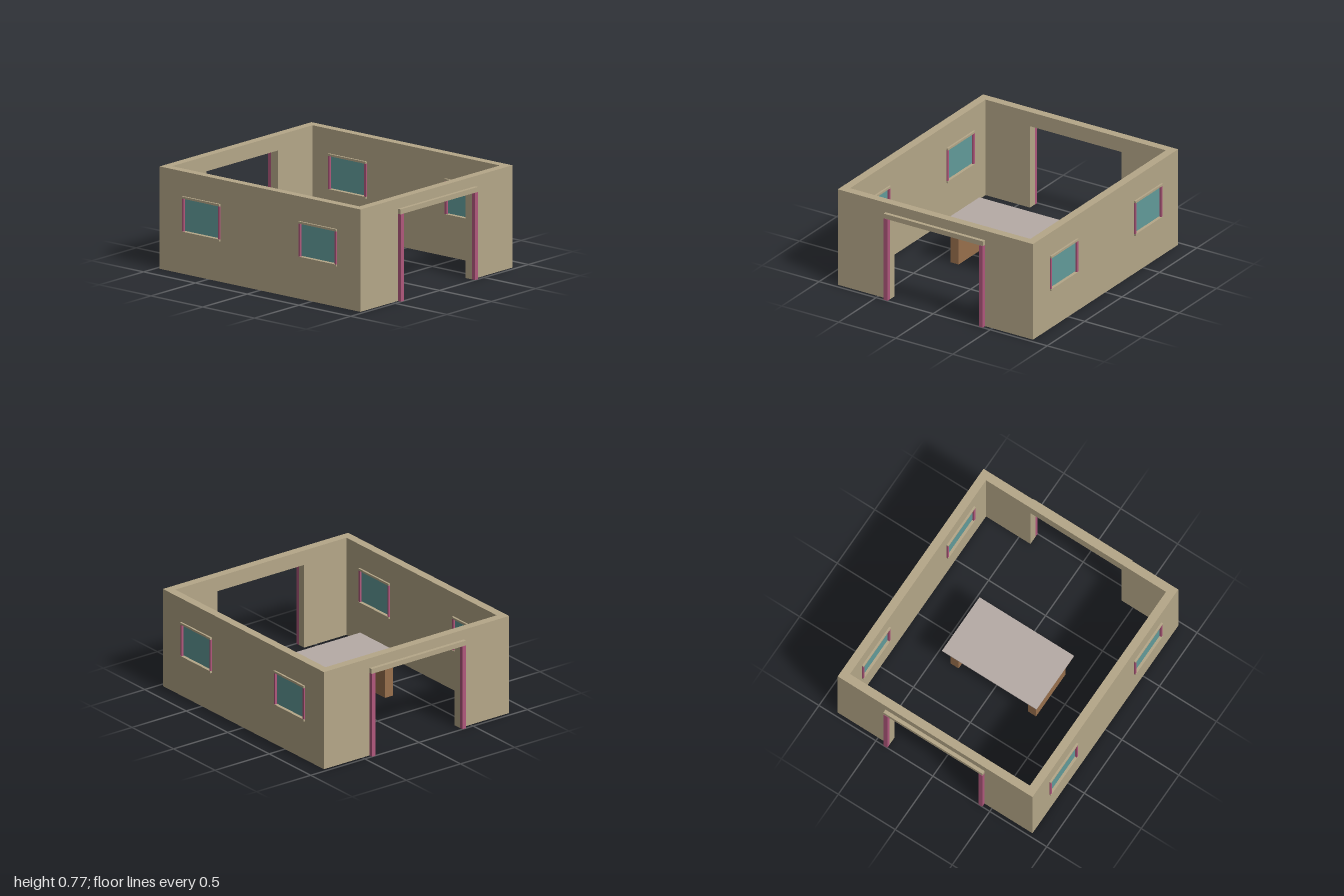
import * as THREE from 'three';

const mat = (name, color) => {
  const m = new THREE.MeshStandardMaterial({ color });
  m.name = name;
  return m;
};

export function createModel() {
  const wallMat = mat('beige plaster', 0xb5a788);
  const jambMat = mat('pink trim', 0xb0587c);
  const glassMat = mat('teal glass', 0x629c9a);
  const woodMat = mat('brown wood', 0x99704d);
  const topMat = mat('pale mauve top', 0xb6aba6);

  const W = 0.855, D = 0.97, H = 0.775, T = 0.065;   // half width, half depth, height, thickness
  const doorX = 0.4, doorY = 0.66;                   // half width and height of the doorway
  const winZ = 0.563, winY = 0.448, winW = 0.364, winH = 0.282, bar = 0.016;

  const model = new THREE.Group();
  model.name = 'room';

  const add = (parent, name, geo, material, x = 0, y = 0, z = 0) => {
    const mesh = new THREE.Mesh(geo, material);
    mesh.name = name;
    mesh.position.set(x, y, z);
    parent.add(mesh);
    return mesh;
  };
  const box = (parent, name, material, size, pos) =>
    add(parent, name, new THREE.BoxGeometry(...size), material, ...pos);
  const slab = (shape) =>
    new THREE.ExtrudeGeometry(shape, { depth: T, bevelEnabled: false }).translate(0, 0, -T / 2);
  const outline = (pts) => pts.map(([x, y]) => new THREE.Vector2(x, y));

  // Front and back walls: an arch-like slab with a doorway cut from the floor up
  const e = W - T;
  const doorWall = slab(new THREE.Shape(outline([
    [-e, 0], [-doorX, 0], [-doorX, doorY], [doorX, doorY], [doorX, 0], [e, 0], [e, H], [-e, H],
  ])));
  for (const s of [1, -1]) {
    const side = new THREE.Group();
    side.name = s > 0 ? 'frontWall' : 'backWall';
    model.add(side);
    add(side, 'doorWall', doorWall, wallMat, 0, 0, s * (D - T / 2));
    // Door surround on the outer face
    for (const k of [1, -1])
      box(side, 'doorJamb', jambMat, [0.034, doorY, 0.03], [k * (doorX + 0.017), doorY / 2, s * (D + 0.015)]);
    box(side, 'doorLintel', wallMat, [0.87, 0.038, 0.028], [0, doorY + 0.019, s * (D + 0.014)]);
  }

  // Side walls with two window openings each
  const sideShape = new THREE.Shape(outline([[-D, 0], [D, 0], [D, H], [-D, H]]));
  for (const s of [1, -1]) {
    const a = s * winZ - winW / 2, b = s * winZ + winW / 2;
    const lo = winY - winH / 2, hi = winY + winH / 2;
    sideShape.holes.push(new THREE.Path(outline([[a, lo], [a, hi], [b, hi], [b, lo]])));
  }
  const sideWall = slab(sideShape).rotateY(Math.PI / 2);

  const makeWindow = () => {
    const g = new THREE.Group();
    g.name = 'window';
    for (const k of [1, -1]) {
      box(g, 'windowRail', wallMat, [T + 0.03, bar, winW], [0, k * (winH - bar) / 2, 0]);
      box(g, 'windowJamb', jambMat, [T + 0.022, winH - 2 * bar, bar], [0, 0, k * (winW - bar) / 2]);
    }
    box(g, 'windowGlass', glassMat, [T - 0.01, winH - 2 * bar - 0.008, winW - 2 * bar], [0, 0, 0]);
    return g;
  };

  for (const s of [1, -1]) {
    const side = new THREE.Group();
    side.name = s > 0 ? 'leftWall' : 'rightWall';
    side.position.x = s * (W - T / 2);
    model.add(side);
    add(side, 'sideWall', sideWall, wallMat);
    for (const k of [1, -1]) {
      const win = makeWindow();
      win.position.set(0, winY, k * winZ);
      side.add(win);
    }
  }

  // Table in the middle of the room
  const table = new THREE.Group();
  table.name = 'table';
  model.add(table);
  box(table, 'tableTop', topMat, [0.83, 0.01, 0.5], [0, 0.335, 0]);
  box(table, 'tableApron', woodMat, [0.804, 0.07, 0.44], [0, 0.295, 0]);
  for (const s of [1, -1])
    box(table, 'tableLeg', woodMat, [0.07, 0.26, 0.39], [s * 0.34, 0.13, 0]);

  return model;
}
